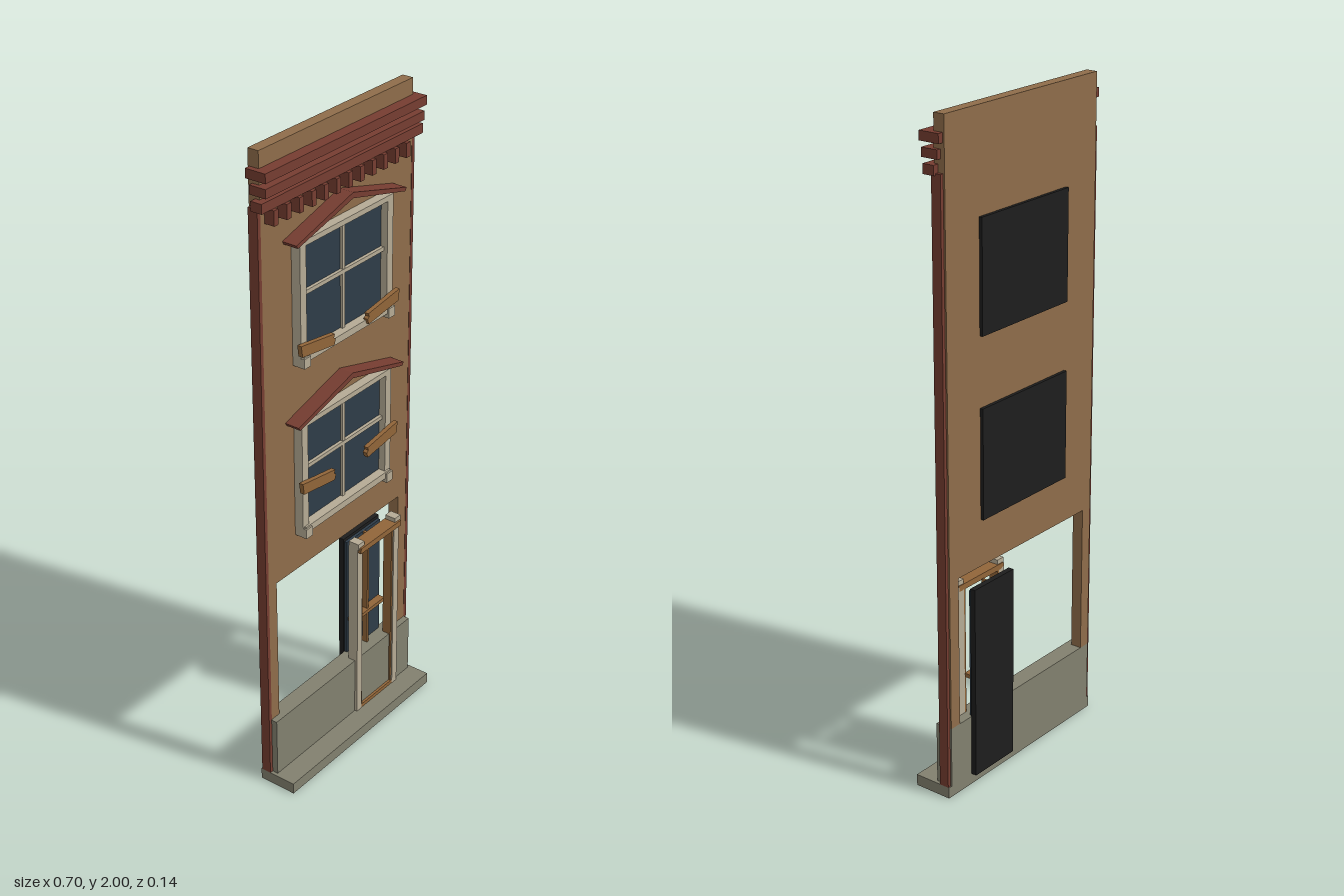
import * as THREE from 'three';

const mat = (name, color) => {
  const m = new THREE.MeshStandardMaterial({ color });
  m.name = name;
  return m;
};

export function createModel() {
  const root = new THREE.Group();
  root.name = 'townhouseFacade';
  const brick = mat('brown wall', 0x8f6d4a);
  const red = mat('dark red trim', 0x763d31);
  const stone = mat('grey stone', 0x82806f);
  const cream = mat('pale frame', 0xb5ab95);
  const glass = mat('blue glass', 0x2e3c48);
  const black = mat('black backing', 0x1d1d1d);
  const wood = mat('brown wood', 0x916539);

  // Box given by its two extreme corners
  const box = (parent, name, m, x0, x1, y0, y1, z0, z1) => {
    const mesh = new THREE.Mesh(new THREE.BoxGeometry(x1 - x0, y1 - y0, z1 - z0), m);
    mesh.position.set((x0 + x1) / 2, (y0 + y1) / 2, (z0 + z1) / 2);
    mesh.name = name;
    parent.add(mesh);
    return mesh;
  };
  // Outline in x/y extruded between two depths
  const plate = (parent, name, m, pts, z0, z1) => {
    const shape = new THREE.Shape(pts.map(p => new THREE.Vector2(p[0], p[1])));
    const mesh = new THREE.Mesh(new THREE.ExtrudeGeometry(shape, { depth: z1 - z0, bevelEnabled: false }), m);
    mesh.position.z = z0;
    mesh.name = name;
    parent.add(mesh);
    return mesh;
  };
  const group = name => {
    const g = new THREE.Group();
    g.name = name;
    root.add(g);
    return g;
  };

  // Wall with a wide ground-floor opening
  plate(root, 'wall', brick, [[-0.33, 0.225], [-0.293, 0.225], [-0.293, 0.687], [0.291, 0.687],
    [0.291, 0.225], [0.33, 0.225], [0.33, 2], [-0.33, 2]], -0.055, -0.02);

  // Stone base and step
  box(root, 'stoneBase', stone, -0.33, 0.33, 0.035, 0.225, -0.055, 0);
  box(root, 'frontStep', stone, -0.341, 0.341, 0, 0.035, -0.053, 0.068);

  // Red strips down both ends
  for (const s of [-1, 1]) {
    box(root, 'endStrip', red, s * 0.335 - 0.006, s * 0.335 + 0.006, 0.035, 1.845, -0.05, -0.019);
  }

  // Cornice bands and dentils
  const cornice = group('cornice');
  box(cornice, 'topBand', red, -0.347, 0.347, 1.925, 1.952, -0.05, 0.015);
  box(cornice, 'middleBand', red, -0.343, 0.343, 1.882, 1.908, -0.042, 0.011);
  box(cornice, 'lowerBand', red, -0.349, 0.349, 1.84, 1.868, -0.034, 0.002);
  for (let i = 0; i < 12; i++) {
    const x = -0.303 + i * 0.052;
    box(cornice, 'dentil', red, x - 0.009, x + 0.009, 1.797, 1.84, -0.022, 0.012);
  }

  // Window: bottom and top of the frame, crossbar height, board height
  const addWindow = (name, y0, y1, bar, boardY) => {
    const g = group(name);
    box(g, 'windowGlass', glass, -0.185, 0.185, y0 + 0.02, y1 - 0.008, -0.021, -0.013);
    box(g, 'backPanel', black, -0.191, 0.191, y0 + 0.018, y1 - 0.01, -0.065, -0.054);
    for (const s of [-1, 1]) {
      box(g, 'frameSide', cream, s * 0.193 - 0.013, s * 0.193 + 0.013, y0 + 0.02, y1, -0.021, 0.009);
      box(g, 'sillBlock', cream, s * 0.191 - 0.014, s * 0.191 + 0.014, y0 - 0.008, y0 + 0.022, -0.021, 0.02);
      // Broken board, jagged at its inner end
      const pts = [[0.217, -0.008], [0.222, 0.027], [0.076, 0.006], [0.08, -0.004],
        [0.072, -0.01], [0.078, -0.027]].map(p => [s * p[0], p[1] + boardY]);
      plate(g, 'brokenBoard', wood, s > 0 ? pts : pts.reverse(), 0.009, 0.023);
    }
    box(g, 'frameTop', cream, -0.206, 0.206, y1 - 0.016, y1, -0.021, 0.009);
    box(g, 'sill', cream, -0.2, 0.2, y0 + 0.006, y0 + 0.027, -0.021, 0.015);
    box(g, 'mullion', cream, -0.005, 0.005, y0 + 0.02, y1 - 0.01, -0.021, -0.005);
    box(g, 'crossbar', cream, -0.182, 0.182, bar - 0.006, bar + 0.006, -0.021, -0.003);
    // Gable hood
    plate(g, 'gableHood', red, [[-0.242, y1 + 0.01], [-0.236, y1], [0, y1 + 0.06], [0.236, y1],
      [0.242, y1 + 0.01], [0, y1 + 0.077]], -0.021, 0.027);
  };
  addWindow('upperWindow', 1.353, 1.712, 1.552, 1.395);
  addWindow('lowerWindow', 0.813, 1.173, 1.017, 0.967);

  // Door
  const door = group('door');
  const cx = 0.152;
  box(door, 'doorGlass', glass, 0.07, 0.234, 0.225, 0.625, -0.055, -0.046);
  box(door, 'doorBackPanel', black, 0.065, 0.24, 0.035, 0.635, -0.072, -0.055);
  for (const s of [-1, 1]) {
    const x = cx + s * 0.091;
    box(door, 'doorJamb', cream, x - 0.012, x + 0.012, 0.036, 0.635, -0.025, 0.009);
    box(door, 'jambCap', cream, x - 0.014, x + 0.014, 0.632, 0.652, -0.022, 0.014);
    const xi = cx + s * 0.077;
    box(door, 'doorStile', wood, xi - 0.004, xi + 0.004, 0.036, 0.63, -0.025, 0.005);
  }
  box(door, 'lintel', wood, 0.052, 0.252, 0.62, 0.638, -0.025, 0.02);
  box(door, 'bottomRail', wood, 0.07, 0.234, 0.036, 0.048, -0.01, 0.008);
  box(door, 'middleRail', wood, 0.075, 0.229, 0.34, 0.352, -0.046, -0.022);
  box(door, 'doorMullion', wood, cx - 0.004, cx + 0.004, 0.225, 0.625, -0.046, -0.028);

  return root;
}
